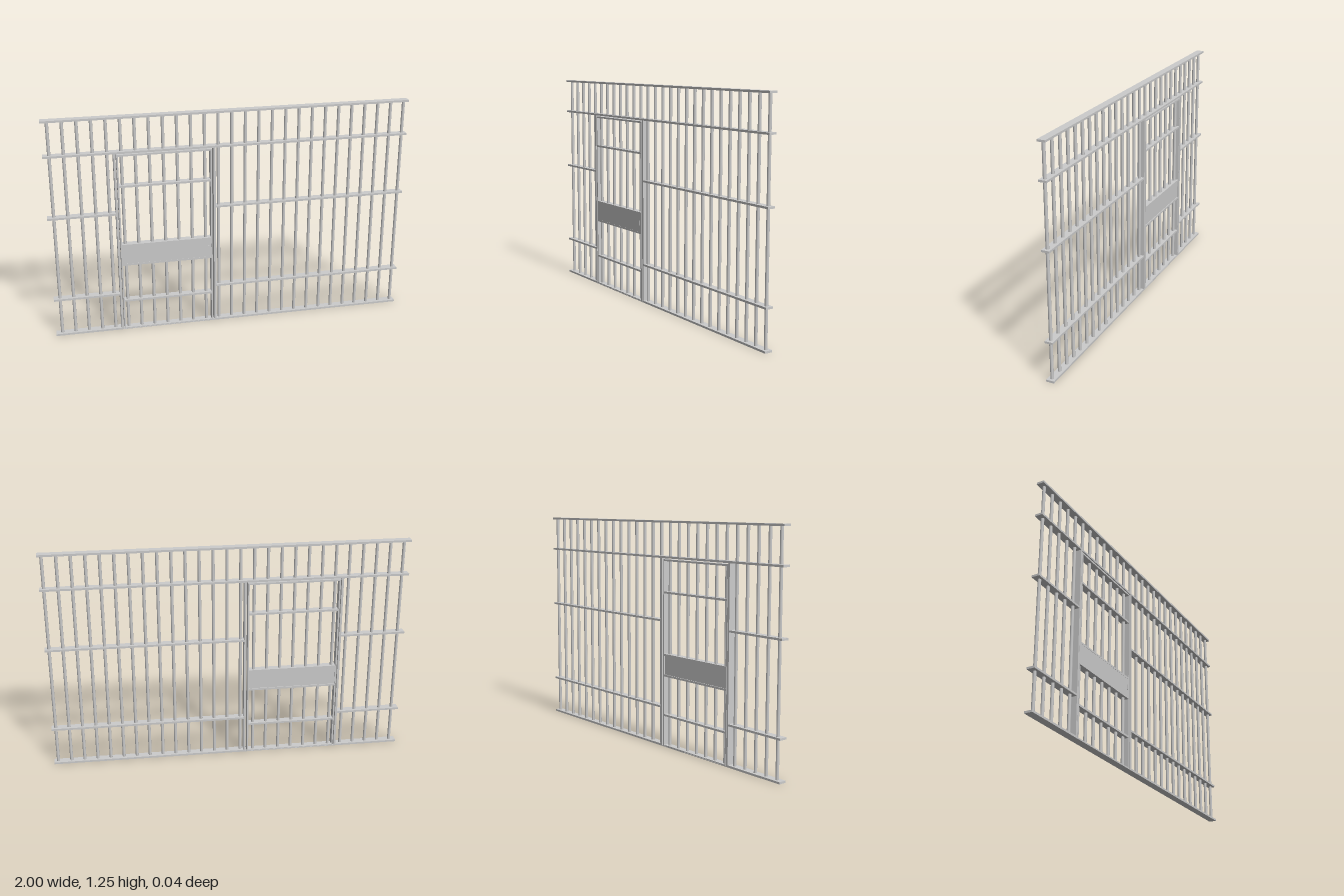
import * as THREE from 'three';

const material = new THREE.MeshStandardMaterial({ color: 0xcccccc });
const DEPTH = 0.043;
const RAIL = 0.011;

// Box given by its x and y limits
function slab(parent, name, x0, x1, y0, y1, depth = DEPTH, z = 0) {
  const mesh = new THREE.Mesh(new THREE.BoxGeometry(x1 - x0, y1 - y0, depth), material);
  mesh.name = name;
  mesh.position.set((x0 + x1) / 2, (y0 + y1) / 2, z);
  parent.add(mesh);
}

// Horizontal flat rail centred on height y
function rail(parent, name, x0, x1, y, depth = DEPTH) {
  slab(parent, name, x0, x1, y - RAIL / 2, y + RAIL / 2, depth);
}

// Upright round bar
function bar(parent, name, x, y0, y1) {
  const mesh = new THREE.Mesh(new THREE.CylinderGeometry(0.0088, 0.0088, y1 - y0, 12, 1, true), material);
  mesh.name = name;
  mesh.position.set(x, (y0 + y1) / 2, 0);
  parent.add(mesh);
}

export function createModel() {
  const model = new THREE.Group();
  model.name = 'barredWall';
  const wall = new THREE.Group();
  wall.name = 'wall';
  const door = new THREE.Group();
  door.name = 'door';
  model.add(wall, door);

  const jambLeft = -0.635, jambRight = -0.087;
  const doorLeft = -0.619, doorRight = -0.107;

  // Full-width rails above the door, split rails beside it
  rail(wall, 'topRail', -1, 1, 1.2395);
  rail(wall, 'lintelRail', -1, 1, 1.049);
  for (const y of [0.0055, 0.221, 0.703]) {
    rail(wall, 'sideRail', -1, jambLeft, y);
    rail(wall, 'sideRail', jambRight, 1, y);
  }

  // Door frame
  slab(wall, 'doorJamb', jambLeft, jambLeft + 0.012, 0, 1.044);
  slab(wall, 'doorJamb', jambRight - 0.012, jambRight, 0, 1.044);
  slab(wall, 'threshold', jambLeft, jambRight, 0, 0.004);

  // Bars: the wall bars stop at the lintel over the doorway
  for (let i = 0; i < 27; i++) {
    const x = -0.965 + i * 0.0747;
    const inDoor = x > doorLeft && x < doorRight;
    bar(wall, 'wallBar', x, inDoor ? 1.05 : 0.005, 1.238);
    if (inDoor) {
      bar(door, 'doorBar', x, 0.006, 0.4);
      bar(door, 'doorBar', x, 0.516, 1.03);
    }
  }

  // Door frame and cross rails
  slab(door, 'doorStile', doorLeft, doorLeft + 0.008, 0.004, 1.038, 0.04);
  slab(door, 'doorStile', doorRight - 0.008, doorRight, 0.004, 1.038, 0.04);
  slab(door, 'doorBottom', doorLeft, doorRight, 0.004, 0.009, 0.04);
  slab(door, 'doorTop', doorLeft, doorRight, 1.028, 1.038, 0.04);
  for (const y of [0.178, 0.4, 0.515, 0.858]) rail(door, 'doorRail', doorLeft, doorRight, y, 0.04);

  // Lock panel with its keyhole plate
  slab(door, 'lockPanel', doorLeft + 0.006, doorRight - 0.006, 0.402, 0.514, 0.034, 0.002);
  slab(door, 'keyholePlate', -0.134, -0.126, 0.445, 0.472, 0.006, 0.02);

  return model;
}
